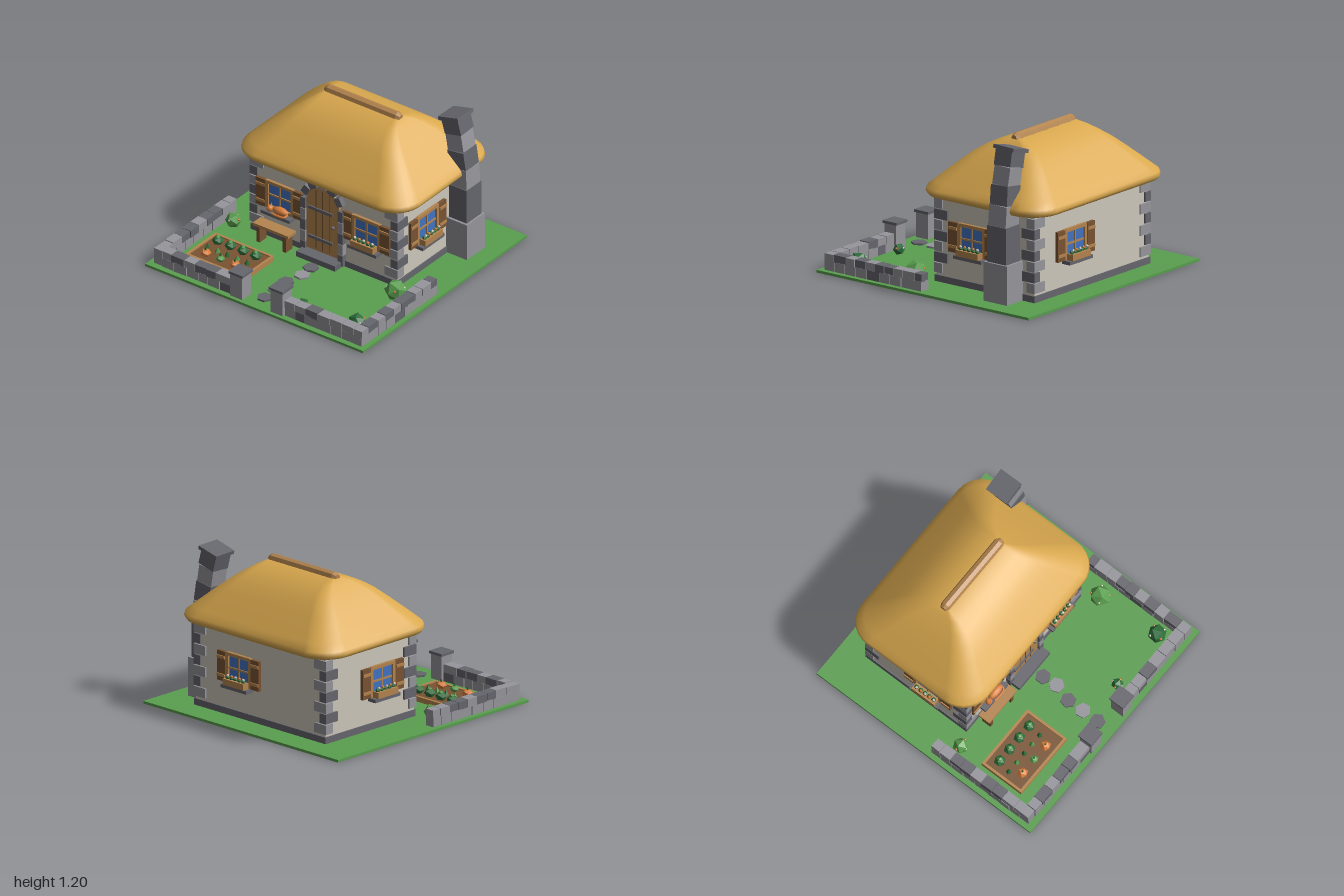
import * as THREE from 'three';

const mat = (name, color) => Object.assign(new THREE.MeshStandardMaterial({ color }), { name });
const M = {
  grass: mat('grass green', 0x5a9f4f), wall: mat('plaster', 0xcfc9bd), thatch: mat('thatch gold', 0xd9a84e),
  wood: mat('light wood', 0xb5854f), dark: mat('dark wood', 0x7a5433), stone: mat('light stone', 0x96969c),
  slate: mat('dark stone', 0x66666e), glass: mat('window blue', 0x4274c4), orange: mat('orange', 0xda7f3c),
  leaf: mat('leaf green', 0x2f6f3c),
};

let seed = 7;
const rnd = () => (seed = (seed * 16807) % 2147483647) / 2147483647;

function add(parent, name, geo, m, x = 0, y = 0, z = 0) {
  const mesh = new THREE.Mesh(geo, m);
  mesh.name = name;
  mesh.position.set(x, y, z);
  parent.add(mesh);
  return mesh;
}
const box = (p, name, m, w, h, d, x, y, z) => add(p, name, new THREE.BoxGeometry(w, h, d), m, x, y, z);
const ball = (p, name, m, r, x, y, z) => add(p, name, new THREE.IcosahedronGeometry(r, 0), m, x, y, z);
function flat(geo) {
  const g = geo.toNonIndexed();
  g.computeVertexNormals();
  return g;
}
function group(parent, name) {
  const g = new THREE.Group();
  g.name = name;
  parent.add(g);
  return g;
}

// Thatched roof lofted through rounded rectangles: [half width, half depth, height]
function roofGeometry() {
  const levels = [[0.6, 0.41, 0.705], [0.735, 0.535, 0.685], [0.775, 0.573, 0.69], [0.79, 0.587, 0.715], [0.783, 0.58, 0.745],
    [0.735, 0.535, 0.79], [0.672, 0.472, 0.85], [0.592, 0.392, 0.925], [0.51, 0.31, 0.998], [0.44, 0.23, 1.052],
    [0.385, 0.15, 1.093], [0.34, 0.06, 1.12], [0.31, 0.004, 1.125]];
  const steps = 7, n = 4 * (steps + 1), pos = [], idx = [];
  for (const [hx, hz, y] of levels) {
    const r = hz * 0.38;
    for (let c = 0; c < 4; c++) for (let s = 0; s <= steps; s++) {
      const a = (c + s / steps) * Math.PI / 2;
      const sx = c === 0 || c === 3 ? 1 : -1, sz = c < 2 ? 1 : -1;
      pos.push(sx * (hx - r) + r * Math.cos(a), y, sz * (hz - r) + r * Math.sin(a));
    }
  }
  for (let l = 0; l < levels.length - 1; l++) for (let i = 0; i < n; i++) {
    const a = l * n + i, b = l * n + (i + 1) % n;
    idx.push(a, a + n, b, b, a + n, b + n);
  }
  const g = new THREE.BufferGeometry();
  g.setAttribute('position', new THREE.Float32BufferAttribute(pos, 3));
  g.setIndex(idx);
  g.computeVertexNormals();
  return g;
}

// Shuttered window facing +z, wall surface at local z = 0
function makeWindow(parent, name, x, z, turn, flowers) {
  const g = group(parent, name);
  g.position.set(x, 0.39, z);
  g.rotation.y = turn;
  box(g, 'glass', M.glass, 0.22, 0.2, 0.008, 0, 0, 0.006);
  for (const s of [-1, 1]) {
    box(g, 'frameSide', M.wood, 0.03, 0.23, 0.025, s * 0.118, 0, 0.0125);
    box(g, 'frameRail', M.wood, 0.236, 0.025, 0.025, 0, s * 0.105, 0.0125);
    box(g, 'shutter', M.dark, 0.086, 0.23, 0.025, s * 0.172, 0, 0.0155);
    for (const y of [-0.07, 0.07]) box(g, 'shutterBatten', M.wood, 0.08, 0.022, 0.01, s * 0.172, y, 0.031);
  }
  box(g, 'mullion', M.wood, 0.014, 0.2, 0.018, 0, 0, 0.009);
  box(g, 'transom', M.wood, 0.21, 0.014, 0.018, 0, 0, 0.009);
  box(g, 'sill', M.slate, 0.265, 0.026, 0.075, 0, -0.132, 0.0375);
  if (!flowers) return;
  box(g, 'flowerBox', M.wood, 0.21, 0.048, 0.055, 0, -0.095, 0.052);
  for (let i = 0; i < 5; i++) {
    const fx = -0.08 + i * 0.04;
    ball(g, 'leaves', M.leaf, 0.019, fx, -0.064, 0.05);
    ball(g, 'flower', i % 2 ? M.orange : M.wall, 0.012, fx + 0.006, -0.046, 0.058);
  }
}

// Two courses of uneven stones running along x or z
function stoneWall(parent, name, alongX, from, to, fixed) {
  const g = group(parent, name);
  for (let row = 0; row < 2; row++) {
    let p = from;
    while (p < to - 0.02) {
      let len = (row && p === from ? 0.06 : 0.085) + rnd() * 0.035;
      if (to - p - len < 0.05) len = to - p;
      const h = (row ? 0.056 : 0.07) + rnd() * 0.006, t = 0.074 + rnd() * 0.01, c = p + len / 2;
      const m = rnd() < (row ? 0.4 : 0.15) ? M.slate : M.stone;
      const b = box(g, 'wallStone', m, alongX ? len - 0.004 : t, h, alongX ? t : len - 0.004,
        alongX ? c : fixed, (row ? 0.09 : 0.02) + h / 2, alongX ? fixed : c);
      b.rotation.y = (rnd() - 0.5) * 0.06;
      p += len;
    }
  }
}

function makeDoor(parent) {
  const g = group(parent, 'door');
  const s = new THREE.Shape();
  s.moveTo(-0.15, 0.07);
  s.lineTo(0.15, 0.07);
  s.lineTo(0.15, 0.48);
  s.absarc(0, 0.48, 0.15, 0, Math.PI, false);
  add(g, 'doorPanel', new THREE.ExtrudeGeometry(s, { depth: 0.025, bevelEnabled: false, curveSegments: 14 }), M.wood, 0, 0, 0.135);
  for (const x of [-0.06, 0, 0.06]) box(g, 'plankSeam', M.dark, 0.006, 0.52 - Math.abs(x) * 0.3, 0.006, x, 0.345, 0.161);
  for (const y of [0.18, 0.43]) box(g, 'ironStrap', M.slate, 0.22, 0.024, 0.012, -0.02, y, 0.165);
  ball(g, 'knob', M.slate, 0.016, 0.1, 0.33, 0.172);
  // Arch stones and jambs
  for (let i = 0; i < 5; i++) {
    const a = Math.PI * (i + 1) / 6;
    const b = box(g, 'archStone', i === 2 ? M.stone : M.slate, 0.07, 0.056, 0.055, 0.174 * Math.cos(a), 0.48 + 0.174 * Math.sin(a), 0.15);
    b.rotation.z = a - Math.PI / 2;
  }
  for (const x of [-0.172, 0.172]) for (let i = 0; i < 5; i++)
    box(g, 'jambStone', i % 2 ? M.stone : M.slate, 0.046, 0.09, 0.055, x, 0.075 + i * 0.094, 0.15);
  box(g, 'doorStep', M.slate, 0.36, 0.045, 0.11, 0, 0.0425, 0.195);
}

function makeChimney(parent) {
  const g = group(parent, 'chimney');
  // [material, width, height, depth, x, y, lean]
  const blocks = [[M.stone, 0.19, 0.3, 0.22, 0.76, 0.17, 0], [M.slate, 0.165, 0.28, 0.18, 0.757, 0.46, 0],
    [M.stone, 0.155, 0.16, 0.165, 0.752, 0.675, 0.06], [M.slate, 0.15, 0.15, 0.16, 0.738, 0.825, 0.13],
    [M.stone, 0.145, 0.14, 0.148, 0.714, 0.965, 0.19], [M.slate, 0.155, 0.12, 0.155, 0.688, 1.092, 0.24],
    [M.slate, 0.185, 0.028, 0.19, 0.671, 1.162, 0.25]];
  blocks.forEach(([m, w, h, d, x, y, lean], i) => {
    const b = box(g, 'chimneyBlock', m, w, h, d, x, y, -0.57);
    b.rotation.set(i > 1 ? (i % 2 ? 0.04 : -0.02) : 0, 0, lean);
  });
}

function makeGarden(parent) {
  const bed = group(parent, 'vegetableBed');
  box(bed, 'soil', M.dark, 0.52, 0.03, 0.35, -0.54, 0.035, 0.58);
  for (const s of [-1, 1]) {
    box(bed, 'bedRail', M.wood, 0.54, 0.04, 0.02, -0.54, 0.04, 0.58 + s * 0.175);
    box(bed, 'bedEnd', M.wood, 0.02, 0.04, 0.37, -0.54 + s * 0.26, 0.04, 0.58);
  }
  for (let i = 0; i < 4; i++) {
    const x = -0.716 + i * 0.116;
    ball(bed, 'cabbage', M.leaf, 0.045, x, 0.075, 0.49).scale.y = 0.8;
    ball(bed, 'cabbageHeart', M.grass, 0.02, x, 0.1, 0.49);
  }
  for (let i = 0; i < 5; i++)
    add(bed, 'seedling', flat(new THREE.ConeGeometry(0.022, 0.045, 5)), i % 2 ? M.grass : M.leaf, -0.735 + i * 0.091, 0.072, 0.59);
  [[-0.685, M.orange], [-0.55, M.grass], [-0.415, M.orange]].forEach(([x, m]) => {
    ball(bed, 'squash', m, m === M.orange ? 0.042 : 0.034, x, 0.075, 0.68).scale.y = 0.75;
    box(bed, 'stalk', M.leaf, 0.01, 0.02, 0.01, x, 0.11, 0.68);
  });

  // Bushes: [x, z, radius, material]
  [[-0.8, 0.19, 0.062, M.grass], [0.75, 0.27, 0.085, M.grass], [0.78, 0.78, 0.072, M.leaf], [0.295, 0.79, 0.046, M.leaf]]
    .forEach(([x, z, r, m], k) => {
      ball(parent, 'bush', m, r, x, 0.02 + r * 0.8, z).rotation.y = k;
      for (let i = 0; i < 4; i++) {
        const a = k + i * 1.6;
        ball(parent, 'blossom', i % 2 ? M.wall : M.orange, 0.01, x + r * 0.8 * Math.cos(a), 0.02 + r * 1.1, z + r * 0.8 * Math.sin(a));
      }
    });

  [[0.01, 0.32], [0.02, 0.44], [-0.02, 0.58], [-0.015, 0.715], [-0.015, 0.85]].forEach(([x, z], i) => {
    const stone = add(parent, 'steppingStone', flat(new THREE.CylinderGeometry(0.06, 0.06, 0.016, 6)), i % 2 ? M.stone : M.slate, x, 0.026, z);
    stone.rotation.y = i * 0.4;
  });

  for (const s of [-1, 1]) {
    stoneWall(parent, 'sideWall', false, 0.04, s < 0 ? 0.95 : 0.96, s * 0.92);
    stoneWall(parent, 'frontWall', true, s < 0 ? -0.88 : 0.245, s < 0 ? -0.245 : 0.88, 0.915);
    box(parent, 'gatePost', M.stone, 0.11, 0.195, 0.11, s * 0.185, 0.1175, 0.917);
    box(parent, 'gatePostCap', M.slate, 0.13, 0.02, 0.13, s * 0.185, 0.223, 0.917);
  }
}

function makeCat(parent) {
  const g = group(parent, 'sleepingCat');
  g.position.set(-0.39, 0.298, 0.18);
  const soft = (name, r, x, y, z) => add(g, name, new THREE.SphereGeometry(r, 12, 8), M.orange, x, y, z);
  soft('catBody', 0.034, 0.015, 0, 0).scale.set(2.1, 0.95, 1);
  soft('catHead', 0.026, -0.075, 0, 0.01);
  for (const z of [-0.008, 0.024]) add(g, 'catEar', new THREE.ConeGeometry(0.01, 0.022, 4), M.orange, -0.075, 0.028, z);
  const tail = new THREE.CatmullRomCurve3([[0.08, -0.01, 0], [0.07, -0.018, 0.032], [0, -0.02, 0.04], [-0.04, -0.02, 0.036]]
    .map(p => new THREE.Vector3(...p)));
  add(g, 'catTail', new THREE.TubeGeometry(tail, 12, 0.009, 6), M.orange);
}

export function createModel() {
  const model = new THREE.Group();
  model.name = 'cottage';
  box(model, 'ground', M.grass, 2, 0.02, 2, 0, 0.01, 0);

  // House body
  const house = group(model, 'house');
  box(house, 'walls', M.wall, 1.33, 0.7, 0.925, 0, 0.37, -0.325);
  box(house, 'plinth', M.slate, 1.35, 0.05, 0.945, 0, 0.045, -0.325);
  for (const sx of [-1, 1]) for (const sz of [-1, 1]) for (let i = 0; i < 7; i++) {
    const long = i % 2, w = long ? 0.065 : 0.12, d = long ? 0.125 : 0.075;
    box(house, 'cornerStone', long ? M.slate : M.stone, w, 0.074, d, sx * (0.68 - w / 2), 0.128 + i * 0.082, -0.325 + sz * (0.475 - d / 2));
  }
  add(house, 'thatchedRoof', roofGeometry(), M.thatch, 0, 0, -0.332);
  const ridge = [[0, -0.345], [0.025, -0.345], [0.04, -0.315], [0.04, 0.315], [0.025, 0.345], [0, 0.345]].map(p => new THREE.Vector2(...p));
  add(house, 'ridgeRoll', flat(new THREE.LatheGeometry(ridge, 8)), M.wood, 0, 1.122, -0.335).rotation.z = Math.PI / 2;

  makeDoor(house);
  makeChimney(house);
  makeWindow(house, 'frontRightWindow', -0.4, 0.1375, 0, false);
  makeWindow(house, 'frontLeftWindow', 0.395, 0.1375, 0, true);
  makeWindow(house, 'leftWindow', 0.665, -0.21, Math.PI / 2, true);
  makeWindow(house, 'rightWindow', -0.665, -0.21, -Math.PI / 2, true);
  makeWindow(house, 'backWindow', 0.21, -0.7875, Math.PI, true);
  makeCat(house);

  // Bench under the front window
  const bench = group(model, 'bench');
  box(bench, 'benchSeat', M.wood, 0.325, 0.022, 0.1, -0.4, 0.165, 0.22);
  for (const x of [-0.52, -0.28]) box(bench, 'benchLeg', M.dark, 0.03, 0.135, 0.08, x, 0.0875, 0.22);

  makeGarden(model);
  return model;
}
